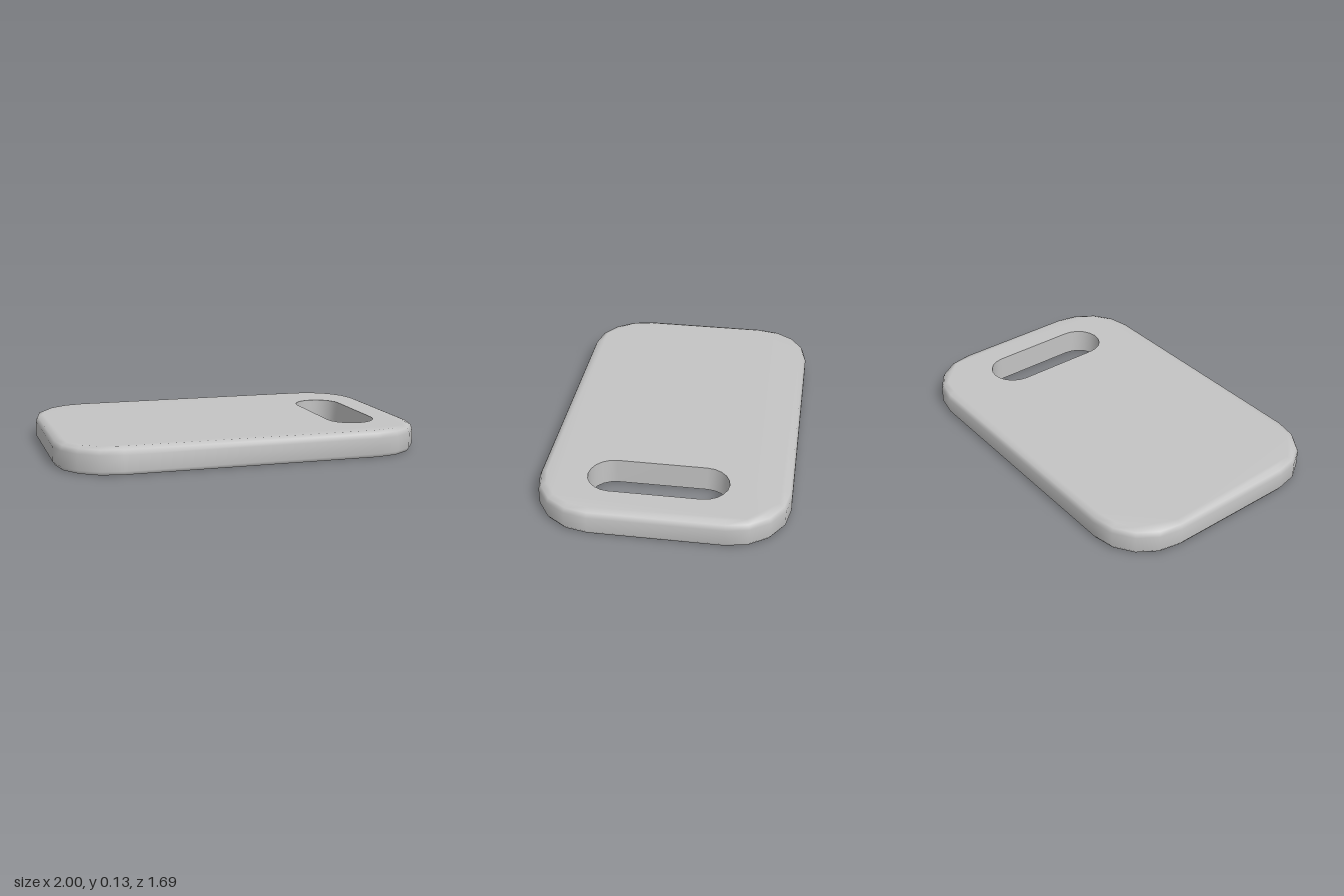
import * as THREE from 'three';

const HEIGHT = 0.13;

// Rounded rectangle outline in (x, z), pulled in by inset
function boardOutline(inset) {
  const pts = [];
  const radius = 0.29 - inset, steps = 4;
  const corners = [[1, 1], [-1, 1], [-1, -1], [1, -1]];
  corners.forEach(([sx, sz], c) => {
    for (let i = 0; i <= steps; i++) {
      const a = (c + i / steps) * Math.PI / 2;
      pts.push(new THREE.Vector2(sx * 0.635 + radius * Math.cos(a), sz * 0.32 + radius * Math.sin(a)));
    }
  });
  return pts;
}

// Stadium outline of the handle slot
function slotOutline() {
  const pts = [];
  const radius = 0.122, half = 0.22, steps = 10;
  for (const end of [0, 1]) {
    for (let i = 0; i <= steps; i++) {
      const a = (end + i / steps) * Math.PI;
      pts.push(new THREE.Vector2(0.631 + radius * Math.cos(a), 0.029 + (end ? -half : half) + radius * Math.sin(a)));
    }
  }
  return pts;
}

function makeGeometry(positions, index) {
  const geo = new THREE.BufferGeometry();
  geo.setAttribute('position', new THREE.Float32BufferAttribute(positions, 3));
  geo.setIndex(index);
  geo.computeVertexNormals();
  return geo;
}

// Joins two closed rings of n points, faces outward
function joinRings(index, low, high, n) {
  for (let i = 0; i < n; i++) {
    const j = (i + 1) % n;
    index.push(low + i, high + i, low + j, low + j, high + i, high + j);
  }
}

// Outer wall with rounded rim, continuing smoothly into the pierced top
function shellGeometry() {
  const positions = [], index = [];
  const profile = [[0, 0.012], [0.018, 0], [0.095, 0], [0.119, 0.011], [HEIGHT, 0.038]]; // [y, inset]
  let contour;
  profile.forEach(([y, inset]) => {
    contour = boardOutline(inset);
    contour.forEach(p => positions.push(p.x, y, p.y));
  });
  const n = contour.length;
  for (let r = 0; r < profile.length - 1; r++) joinRings(index, r * n, (r + 1) * n, n);

  const hole = slotOutline().reverse();
  hole.forEach(p => positions.push(p.x, HEIGHT, p.y));
  const base = (profile.length - 1) * n;
  for (const [a, b, c] of THREE.ShapeUtils.triangulateShape(contour, [hole])) {
    index.push(base + a, base + c, base + b);
  }
  return makeGeometry(positions, index);
}

// Wall of the handle slot, facing into the opening
function slotGeometry() {
  const positions = [], index = [];
  const outline = slotOutline();
  for (const y of [HEIGHT, 0]) outline.forEach(p => positions.push(p.x, y, p.y));
  joinRings(index, 0, outline.length, outline.length);
  return makeGeometry(positions, index);
}

export function createModel() {
  const model = new THREE.Group();
  model.name = 'cuttingBoard';

  const grey = new THREE.MeshStandardMaterial({ color: 0xc4c4c4, side: THREE.DoubleSide });
  grey.name = 'light grey';

  const shell = new THREE.Mesh(shellGeometry(), grey);
  shell.name = 'boardShell';
  const slot = new THREE.Mesh(slotGeometry(), grey);
  slot.name = 'handleSlotWall';

  // The board lies turned on its base, open underneath
  const board = new THREE.Group();
  board.name = 'board';
  board.rotation.y = -0.428;
  board.add(shell, slot);
  model.add(board);
  return model;
}
